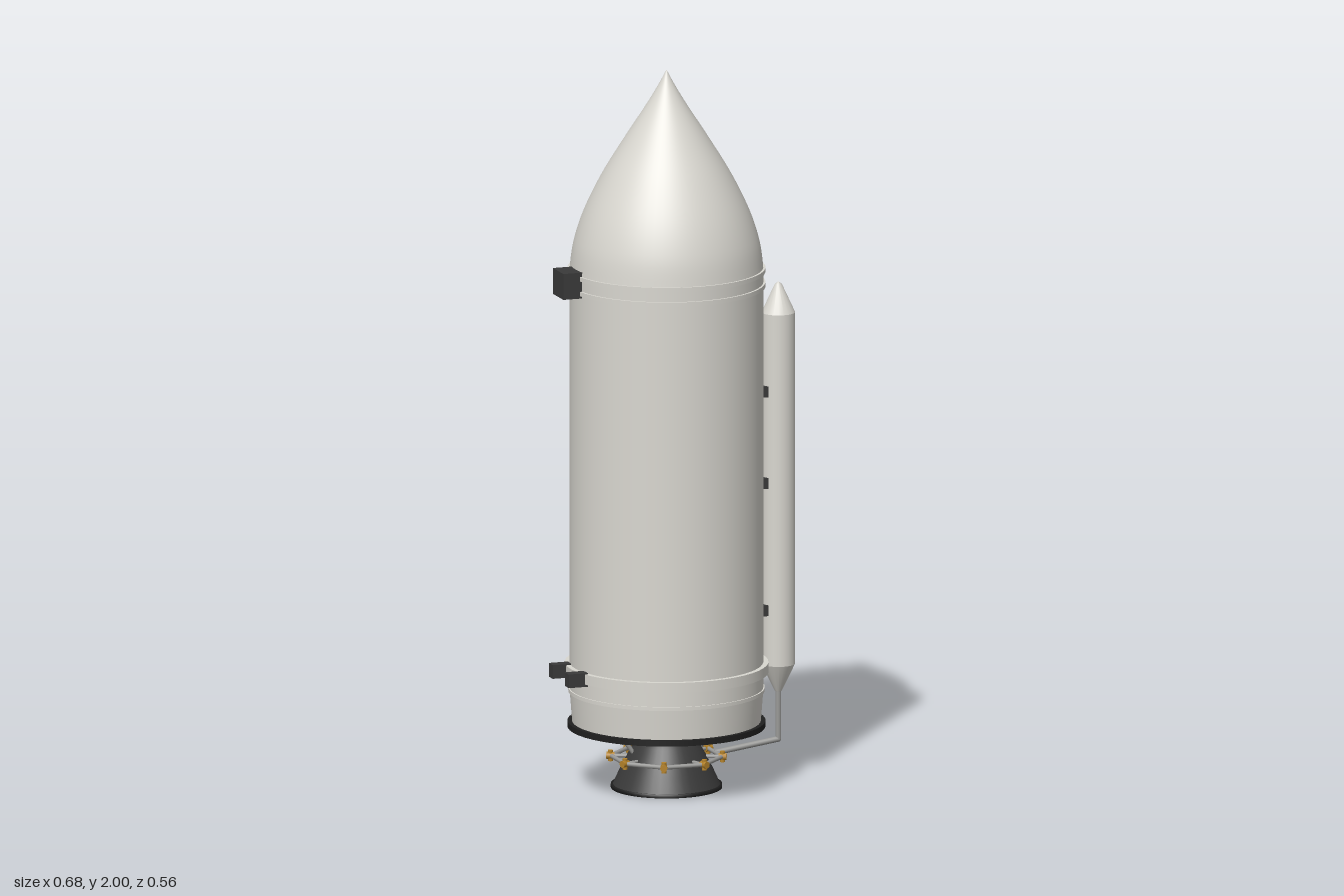
import * as THREE from 'three';

const AXIS = -0.03; // x of the main body axis

function material(name, color, side = THREE.FrontSide) {
  const m = new THREE.MeshStandardMaterial({ color, side });
  m.name = name;
  return m;
}

export function createModel() {
  const root = new THREE.Group();
  root.name = 'rocketStage';
  const white = material('warmWhite', 0xd9d7d0);
  const dark = material('darkGrey', 0x3a3a3a, THREE.DoubleSide);
  const black = material('nearBlack', 0x202020);
  const steel = material('steel', 0x9a9a98);
  const brass = material('brass', 0xb5832a);

  const add = (parent, name, geometry, mat, x = 0, y = 0, z = 0) => {
    const mesh = new THREE.Mesh(geometry, mat);
    mesh.name = name;
    mesh.position.set(x, y, z);
    parent.add(mesh);
    return mesh;
  };
  const lathe = (points, segments) =>
    new THREE.LatheGeometry(points.map(([r, y]) => new THREE.Vector2(r, y)), segments);
  const rod = (parent, name, a, b, r, mat, r2 = r) => {
    const dir = b.clone().sub(a);
    const mesh = add(parent, name, new THREE.CylinderGeometry(r2, r, dir.length(), 10), mat);
    mesh.position.copy(a).add(b).multiplyScalar(0.5);
    mesh.quaternion.setFromUnitVectors(new THREE.Vector3(0, 1, 0), dir.normalize());
    return mesh;
  };
  const V = (x, y, z) => new THREE.Vector3(x, y, z);

  // Main body
  const body = new THREE.Group();
  body.name = 'body';
  body.position.x = AXIS;
  root.add(body);
  add(body, 'mainTank', new THREE.CylinderGeometry(0.264, 0.264, 1.17, 64, 1, true), white, 0, 0.855);
  add(body, 'tailSkirt', new THREE.CylinderGeometry(0.264, 0.257, 0.09, 64, 1, true), white, 0, 0.225);

  // Pointed nose, bulging low and slightly hollow near the tip
  const nose = new THREE.SplineCurve([
    [0.265, 1.44], [0.254, 1.52], [0.225, 1.61], [0.176, 1.71],
    [0.115, 1.81], [0.057, 1.9], [0.024, 1.955], [0, 2],
  ].map(([r, y]) => new THREE.Vector2(r, y))).getPoints(36);
  nose[nose.length - 1].x = 0;
  add(body, 'noseCone', new THREE.LatheGeometry(nose, 64), white);

  // Raised bands: [centre height, radius, height]
  for (const [y, r, h] of [[1.443, 0.27, 0.012], [1.402, 0.27, 0.012], [0.335, 0.278, 0.028], [0.274, 0.268, 0.01]]) {
    add(body, 'bodyBand', new THREE.CylinderGeometry(r, r, h, 48), white, 0, y);
  }
  add(body, 'basePlate', new THREE.CylinderGeometry(0.27, 0.27, 0.016, 48), black, 0, 0.178);

  // Engine
  const engine = new THREE.Group();
  engine.name = 'engine';
  body.add(engine);
  add(engine, 'engineBell', lathe([[0.147, 0.008], [0.128, 0.05], [0.108, 0.09], [0.09, 0.12], [0.074, 0.138]], 40), dark);
  add(engine, 'bellRim', lathe([[0.145, 0.01], [0.145, 0], [0.152, 0], [0.152, 0.01], [0.145, 0.01]], 40), black);
  add(engine, 'engineHead', lathe([[0, 0.132], [0.074, 0.132], [0.077, 0.15], [0.088, 0.16], [0.095, 0.172]], 40), dark);

  // Gimbal actuators
  for (const s of [-1, 1]) {
    rod(engine, 'actuatorCylinder', V(s * 0.118, 0.132, 0), V(s * 0.143, 0.172, 0), 0.012, steel);
    rod(engine, 'actuatorPiston', V(s * 0.088, 0.09, 0), V(s * 0.12, 0.135, 0), 0.006, steel);
  }

  // Octagonal manifold with a valve at each corner
  const ringY = 0.086;
  const corner = (i, r) => {
    const a = (i + 0.5) * Math.PI / 4;
    return V(r * Math.cos(a), ringY, r * Math.sin(a));
  };
  for (let i = 0; i < 8; i++) {
    rod(engine, 'manifoldPipe', corner(i, 0.152), corner(i + 1, 0.152), 0.006, steel);
    rod(engine, 'injectorPipe', corner(i, 0.105), corner(i, 0.152), 0.005, steel);
    rod(engine, 'valve', corner(i, 0.142), corner(i, 0.164), 0.01, brass);
    add(engine, 'valveStem', new THREE.CylinderGeometry(0.007, 0.007, 0.03, 10), brass, ...corner(i, 0.153).toArray());
  }

  // Slim side tank
  const side = new THREE.Group();
  side.name = 'sideTank';
  side.position.x = 0.294;
  root.add(side);
  add(side, 'sideTankBody', new THREE.CylinderGeometry(0.046, 0.046, 0.98, 20, 1, true), white, 0, 0.81);
  add(side, 'sideTankTop', lathe([[0.046, 1.3], [0.01, 1.378], [0, 1.386]], 20), white);
  add(side, 'sideTankBottom', lathe([[0, 0.238], [0.01, 0.245], [0.046, 0.32]], 20), white);
  for (const y of [1.085, 0.83, 0.475]) {
    add(root, 'sideTankBracket', new THREE.BoxGeometry(0.034, 0.03, 0.052), dark, 0.241, y, 0);
  }

  // Feed line from the side tank to the manifold
  const elbow = V(0.294, 0.11, 0);
  rod(root, 'feedLineDrop', V(0.294, 0.25, 0), elbow, 0.008, steel);
  rod(root, 'feedLineRun', elbow, V(0.11, 0.085, 0), 0.008, steel);
  add(root, 'feedLineElbow', new THREE.SphereGeometry(0.008, 10, 8), steel, elbow.x, elbow.y, 0);

  // Mounting blocks on the opposite side
  add(root, 'upperMount', new THREE.BoxGeometry(0.055, 0.072, 0.084), dark, -0.3165, 1.425, 0);
  for (const s of [-1, 1]) {
    add(root, 'lowerMount', new THREE.BoxGeometry(0.055, 0.038, 0.032), dark, -0.3145, 0.333, s * 0.064);
  }
  return root;
}
